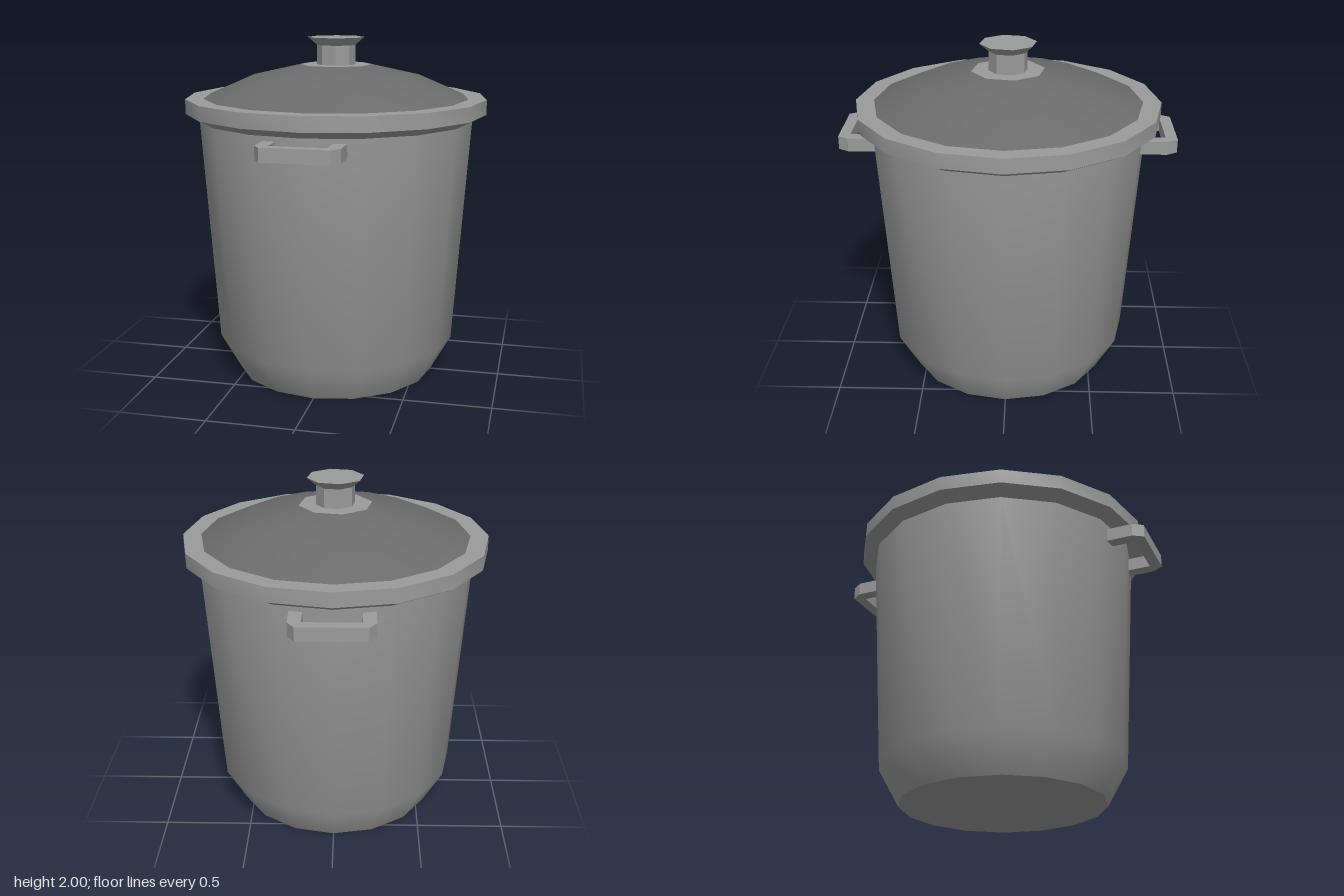
import * as THREE from 'three';
import { toCreasedNormals } from 'three/addons/utils/BufferGeometryUtils.js';

const SIDES = 16;

export function createModel() {
  const group = new THREE.Group();
  const metal = new THREE.MeshStandardMaterial({ color: 0x9b9b9b });
  const flatMetal = new THREE.MeshStandardMaterial({ color: 0x9b9b9b, flatShading: true });
  const darkLid = new THREE.MeshStandardMaterial({ color: 0x6b6b6b });

  const add = (name, geometry, material) => {
    const mesh = new THREE.Mesh(geometry, material);
    mesh.name = name;
    group.add(mesh);
    return mesh;
  };
  const lathe = (points) =>
    new THREE.LatheGeometry(points.map(([r, y]) => new THREE.Vector2(r, y)), SIDES);
  const crease = (geometry) => toCreasedNormals(geometry, 0.65);

  // Pot body: closed base, bevelled foot, slightly flared wall
  add('potBody', crease(lathe([[0, 0], [0.59, 0], [0.71, 0.215], [0.8, 1.53]])), metal);

  // Lid rim: sloped underside, vertical band, flat top
  add('lidRim', crease(lathe([[0.795, 1.525], [0.88, 1.57], [0.88, 1.655], [0.775, 1.655]])), metal);

  // Lid dome: the top ring merges neighbouring corners in pairs, so 16 sides become 8
  const topRadius = 0.212, topY = 1.843;
  const dome = lathe([[0.775, 1.655], [0.5, 1.775], [topRadius, topY]]);
  const pos = dome.attributes.position;
  const step = (Math.PI * 2) / SIDES;
  for (let i = 0; i < pos.count; i++) {
    if (pos.getY(i) < topY - 0.01) continue;
    const k = Math.round(Math.atan2(-pos.getZ(i), pos.getX(i)) / step);
    const a = (Math.floor(k / 2) * 2 + 0.5) * step;
    pos.setXYZ(i, topRadius * Math.cos(a), topY, -topRadius * Math.sin(a));
  }
  add('lidDome', crease(dome), darkLid);

  // Flat octagon on top of the lid
  const plate = new THREE.CircleGeometry(topRadius, 8, step / 2);
  plate.rotateX(-Math.PI / 2);
  add('lidTopPlate', plate, flatMetal).position.y = topY;

  // Knob: octagonal neck and flared head
  const knobPart = (name, rTop, rBottom, y0, y1) => {
    const mesh = add(name, new THREE.CylinderGeometry(rTop, rBottom, y1 - y0, 8), flatMetal);
    mesh.position.y = (y0 + y1) / 2;
    mesh.rotation.y = step / 2;
  };
  knobPart('knobNeck', 0.112, 0.112, 1.84, 1.955);
  knobPart('knobHead', 0.164, 0.112, 1.955, 2);

  // Handles: bevelled U shape, mirrored front and back
  const outline = [
    [-0.227, 0.72], [-0.155, 0.72], [-0.155, 0.895], [0.155, 0.895],
    [0.155, 0.72], [0.227, 0.72], [0.227, 0.9], [0.188, 0.96],
    [-0.188, 0.96], [-0.227, 0.9],
  ];
  const shape = new THREE.Shape(outline.map(([x, z]) => new THREE.Vector2(x, z)));
  const handle = new THREE.ExtrudeGeometry(shape, { depth: 0.077, bevelEnabled: false });
  handle.rotateX(Math.PI / 2);
  handle.translate(0, 1.5, 0);
  add('frontHandle', handle, flatMetal);
  add('backHandle', handle, flatMetal).rotation.y = Math.PI;

  return group;
}
